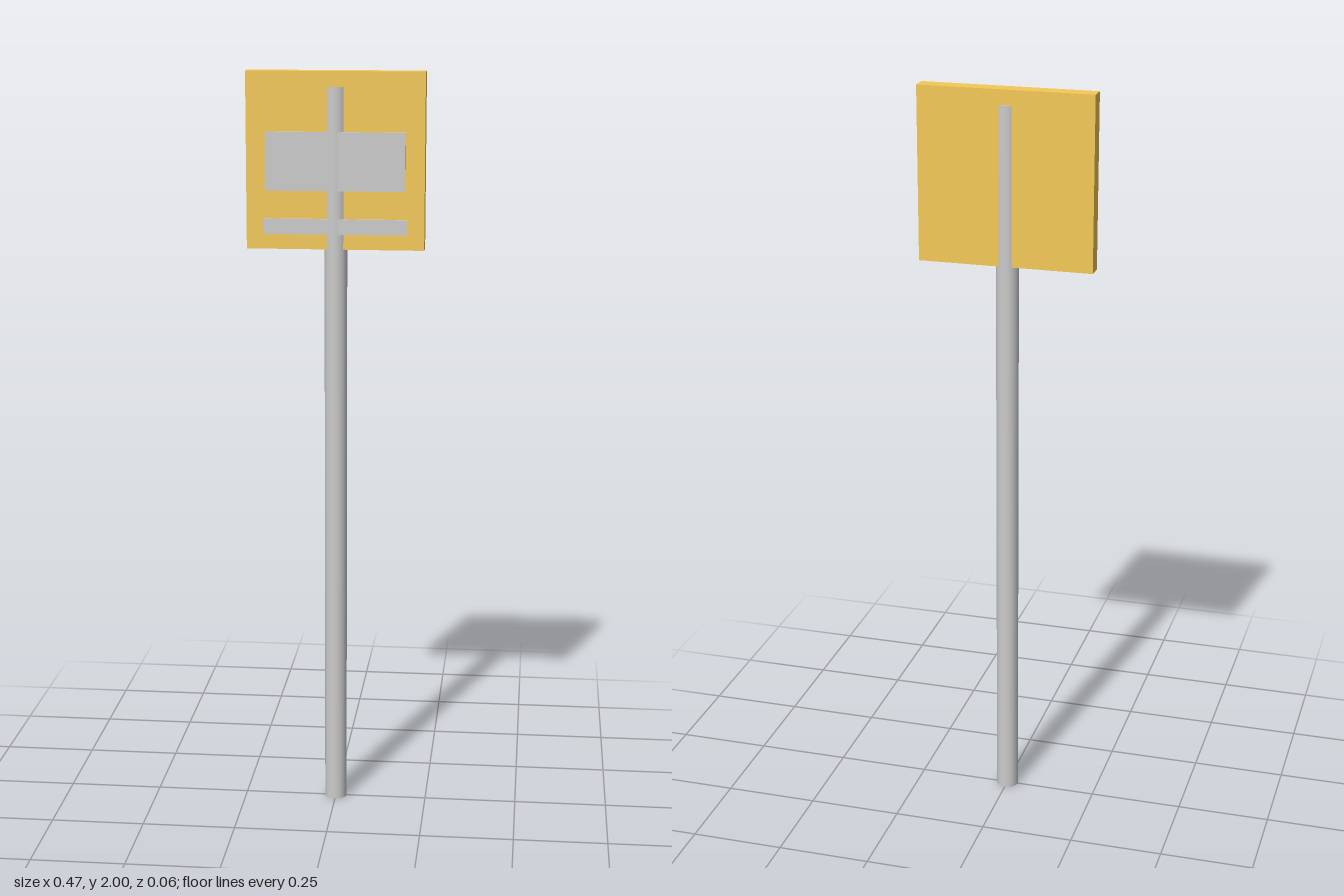
import * as THREE from 'three';

const grey = new THREE.MeshStandardMaterial({ color: 0xcccccc });
const yellow = new THREE.MeshStandardMaterial({ color: 0xf5c957 });

// Box given by its extents: half width, bottom and top, back and front
function slab(name, halfWidth, y0, y1, z0, z1, material) {
  const mesh = new THREE.Mesh(new THREE.BoxGeometry(halfWidth * 2, y1 - y0, z1 - z0), material);
  mesh.name = name;
  mesh.position.set(0, (y0 + y1) / 2, (z0 + z1) / 2);
  return mesh;
}

export function createModel() {
  const sign = new THREE.Group();
  sign.name = 'signpost';

  // Round post, running up through the board and showing on both faces
  const postHeight = 1.96;
  const post = new THREE.Mesh(new THREE.CylinderGeometry(0.03, 0.03, postHeight, 16), grey);
  post.name = 'post';
  post.position.y = postHeight / 2;
  sign.add(post);

  // Square board with two raised plates on its front
  sign.add(slab('board', 0.233, 1.54, 2, -0.024, 0.021, yellow));
  sign.add(slab('upperPlate', 0.182, 1.693, 1.845, 0, 0.0285, grey));
  sign.add(slab('lowerPlate', 0.188, 1.58, 1.62, 0, 0.0285, grey));

  return sign;
}
